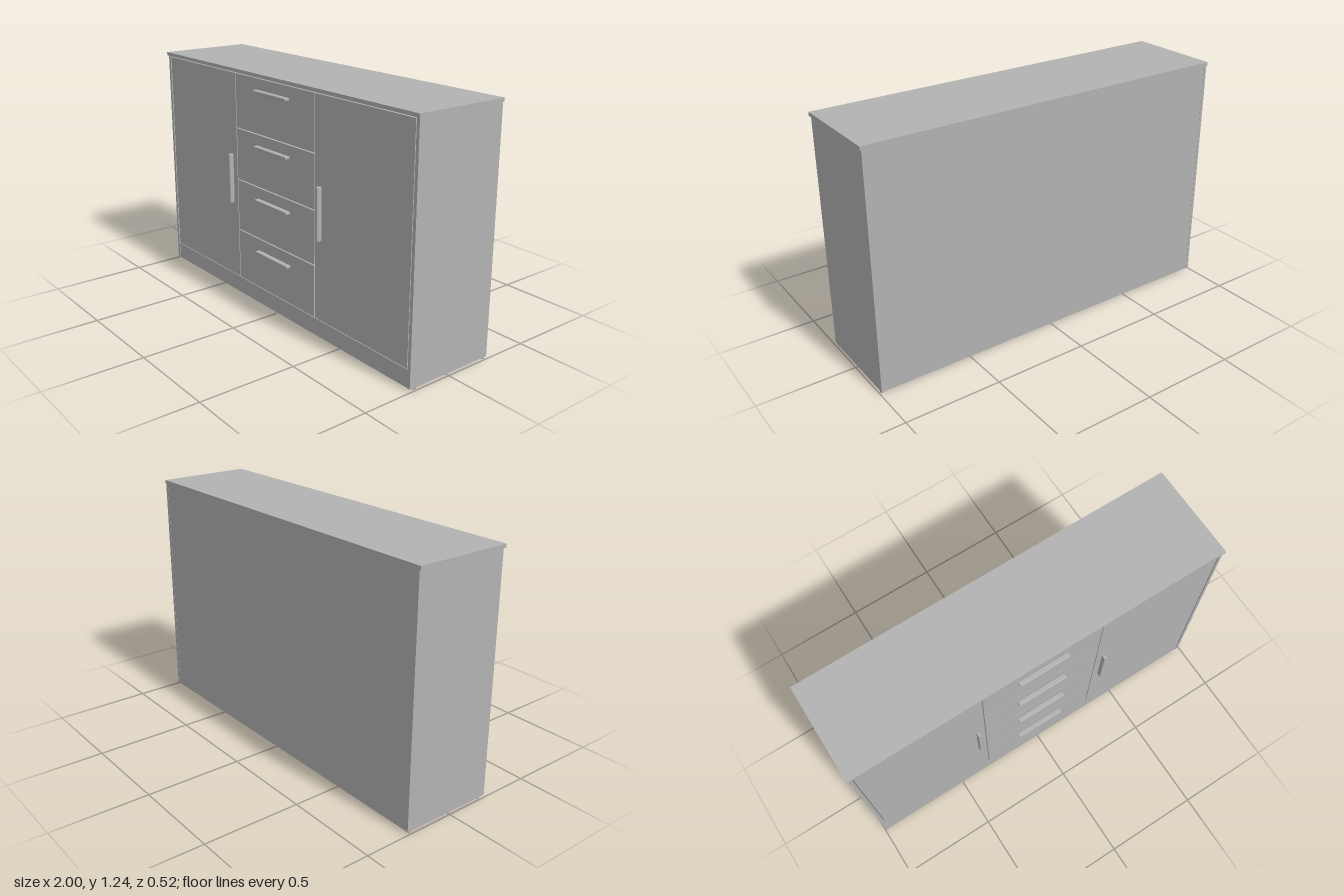
import * as THREE from 'three';
import { RoundedBoxGeometry } from 'three/addons/geometries/RoundedBoxGeometry.js';

export function createModel() {
  const model = new THREE.Group();
  model.name = 'sideboard';
  const grey = new THREE.MeshStandardMaterial({ color: 0xb2b2b2 });
  grey.name = 'grey';

  const add = (name, geometry, x, y, z) => {
    const mesh = new THREE.Mesh(geometry, grey);
    mesh.name = name;
    mesh.position.set(x, y, z);
    model.add(mesh);
  };
  // box given by its limits on each axis
  const panel = (name, [x0, x1], [y0, y1], [z0, z1]) =>
    add(name, new THREE.BoxGeometry(x1 - x0, y1 - y0, z1 - z0),
      (x0 + x1) / 2, (y0 + y1) / 2, (z0 + z1) / 2);

  // carcass
  panel('topPanel', [-1, 1], [1.222, 1.24], [-0.26, 0.244]);
  panel('leftSide', [0.976, 0.993], [0.01, 1.222], [-0.26, 0.237]);
  panel('rightSide', [-0.993, -0.976], [0.01, 1.222], [-0.26, 0.237]);
  panel('backPanel', [-0.976, 0.976], [0.01, 1.222], [-0.259, -0.243]);
  panel('bottomPanel', [-0.976, 0.976], [0.082, 0.099], [-0.243, 0.218]);
  panel('plinth', [-0.976, 0.976], [0.01, 0.099], [0.218, 0.234]);
  for (const x of [-0.323, 0.323])
    panel('divider', [x - 0.008, x + 0.008], [0.099, 1.222], [-0.243, 0.217]);

  // doors with upright handles
  for (const s of [-1, 1]) {
    const xs = [s * 0.326, s * 0.97].sort((a, b) => a - b);
    panel('door', xs, [0.103, 1.215], [0.218, 0.235]);
    add('doorHandle', new RoundedBoxGeometry(0.016, 0.27, 0.027, 3, 0.005), s * 0.368, 0.649, 0.2475);
  }

  // drawers with level handles
  const edges = [0.1, 0.375, 0.655, 0.932, 1.218];
  const handleY = [0.305, 0.588, 0.868, 1.152];
  handleY.forEach((y, i) => {
    panel('drawerFront', [-0.321, 0.321], [edges[i] + 0.003, edges[i + 1] - 0.003], [0.218, 0.235]);
    add('drawerHandle', new RoundedBoxGeometry(0.27, 0.016, 0.027, 3, 0.005), -0.004, y, 0.2475);
  });

  // small feet
  for (const x of [-0.984, 0, 0.984])
    for (const z of [0.203, -0.243])
      add('foot', new THREE.CylinderGeometry(0.009, 0.009, 0.012, 16), x, 0.006, x === 0 && z > 0 ? 0.226 : z);

  return model;
}
